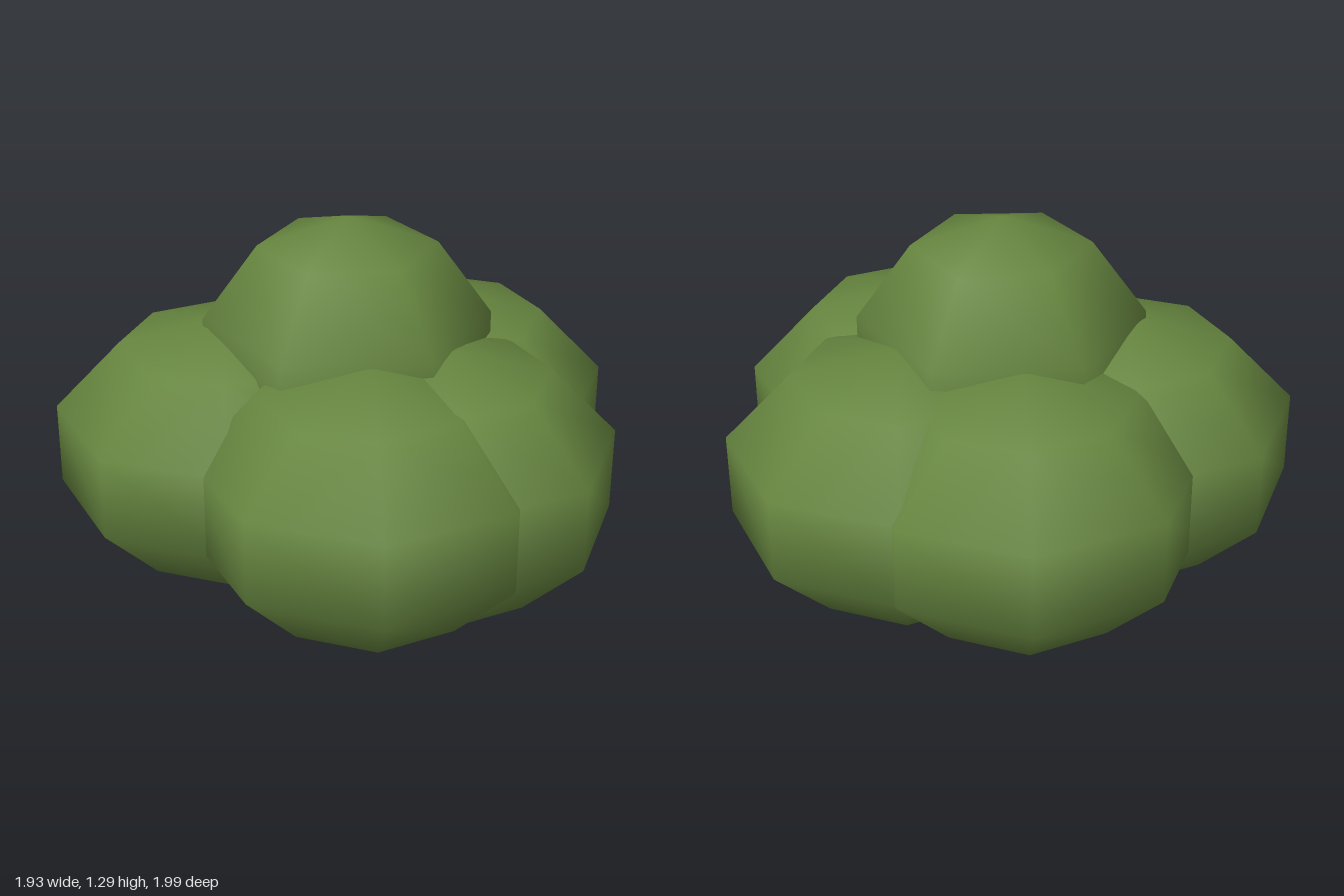
import * as THREE from 'three';

export function createModel() {
  const bush = new THREE.Group();
  bush.name = 'bush';
  const leafGreen = new THREE.MeshStandardMaterial({ color: 0x66853f });
  leafGreen.name = 'leafGreen';

  // One smooth-shaded, coarse foliage clump
  function clump(name, radius, sides, x, y, z, squash = 1) {
    const geometry = new THREE.SphereGeometry(radius, sides, 5);
    geometry.scale(1, squash, 1);
    const mesh = new THREE.Mesh(geometry, leafGreen);
    mesh.name = name;
    mesh.position.set(x, y, z);
    bush.add(mesh);
  }

  // Ring of flattened lower clumps
  const lower = [
    ['frontClump', 0.08, 0.405],
    ['leftFrontClump', 0.325, 0.28],
    ['leftBackClump', 0.375, -0.23],
    ['backClump', -0.02, -0.41],
    ['rightClump', -0.378, -0.03],
  ];
  for (const [name, x, z] of lower) clump(name, 0.62, 8, x, 0.465, z, 0.75);

  // Rounder crown on top
  clump('topClump', 0.515, 6, 0.035, 0.775, 0);
  return bush;
}
